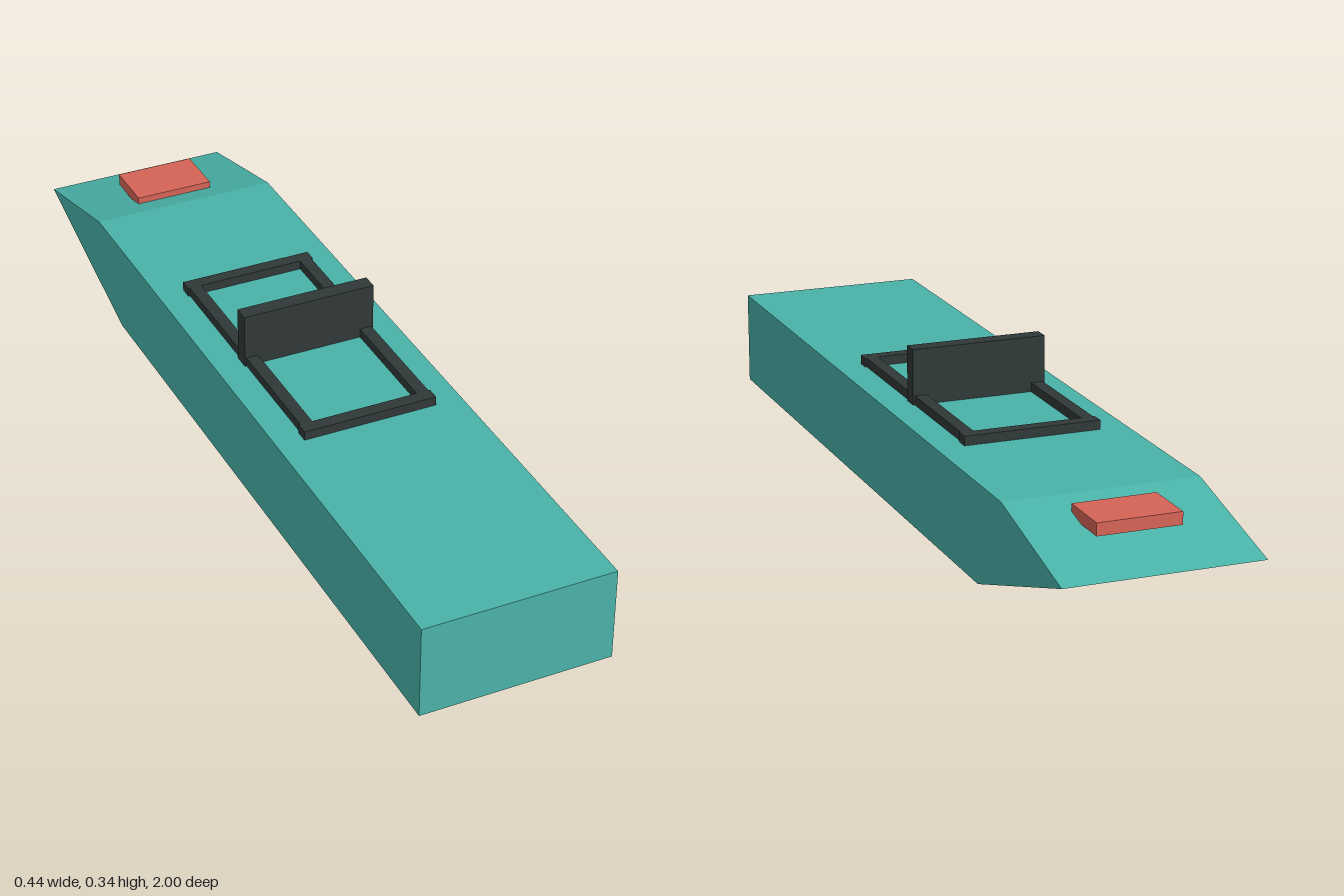
import * as THREE from 'three';

export function createModel() {
  const model = new THREE.Group();
  const material = (name, color) => Object.assign(new THREE.MeshStandardMaterial({ color }), { name });
  const teal = material('teal', 0x4ab3a9);
  const charcoal = material('charcoal', 0x303938);
  const red = material('red', 0xd66457);

  // Box given by its extents on each axis
  const box = (name, mat, [x0, x1], [y0, y1], [z0, z1], parent = model) => {
    const mesh = new THREE.Mesh(new THREE.BoxGeometry(x1 - x0, y1 - y0, z1 - z0), mat);
    mesh.position.set((x0 + x1) / 2, (y0 + y1) / 2, (z0 + z1) / 2);
    mesh.name = name;
    parent.add(mesh);
  };

  // Hull: side profile drawn as (-z, y), extruded across the width
  const width = 0.438, deck = 0.218;
  const profile = new THREE.Shape([[-1, 0], [0.565, 0], [1, 0.143], [0.69, deck], [-1, deck]]
    .map(([a, y]) => new THREE.Vector2(a, y)));
  const hullGeometry = new THREE.ExtrudeGeometry(profile, { depth: width, bevelEnabled: false });
  hullGeometry.translate(0, 0, -width / 2).rotateY(Math.PI / 2);
  const hull = new THREE.Mesh(hullGeometry, teal);
  hull.name = 'hull';
  model.add(hull);

  // Deck frame: two end bars and two side rails
  const frame = new THREE.Group();
  frame.name = 'deckFrame';
  model.add(frame);
  const frameY = [deck - 0.004, 0.239];
  for (const z of [-0.313, 0.313]) {
    box('endBar', charcoal, [-0.156, 0.156], frameY, [z - 0.015, z + 0.015], frame);
  }
  for (const x of [-0.138, 0.138]) {
    box('sideRail', charcoal, [x - 0.014, x + 0.014], frameY, [-0.3, 0.3], frame);
  }

  // Upright panel across the middle of the frame
  box('uprightPanel', charcoal, [-0.156, 0.156], [deck - 0.004, 0.345], [-0.0185, 0.0185]);

  // Block on the sloped end
  box('slopeBlock', red, [-0.093, 0.093], [0.191, 0.219], [-0.876, -0.751]);

  return model;
}
